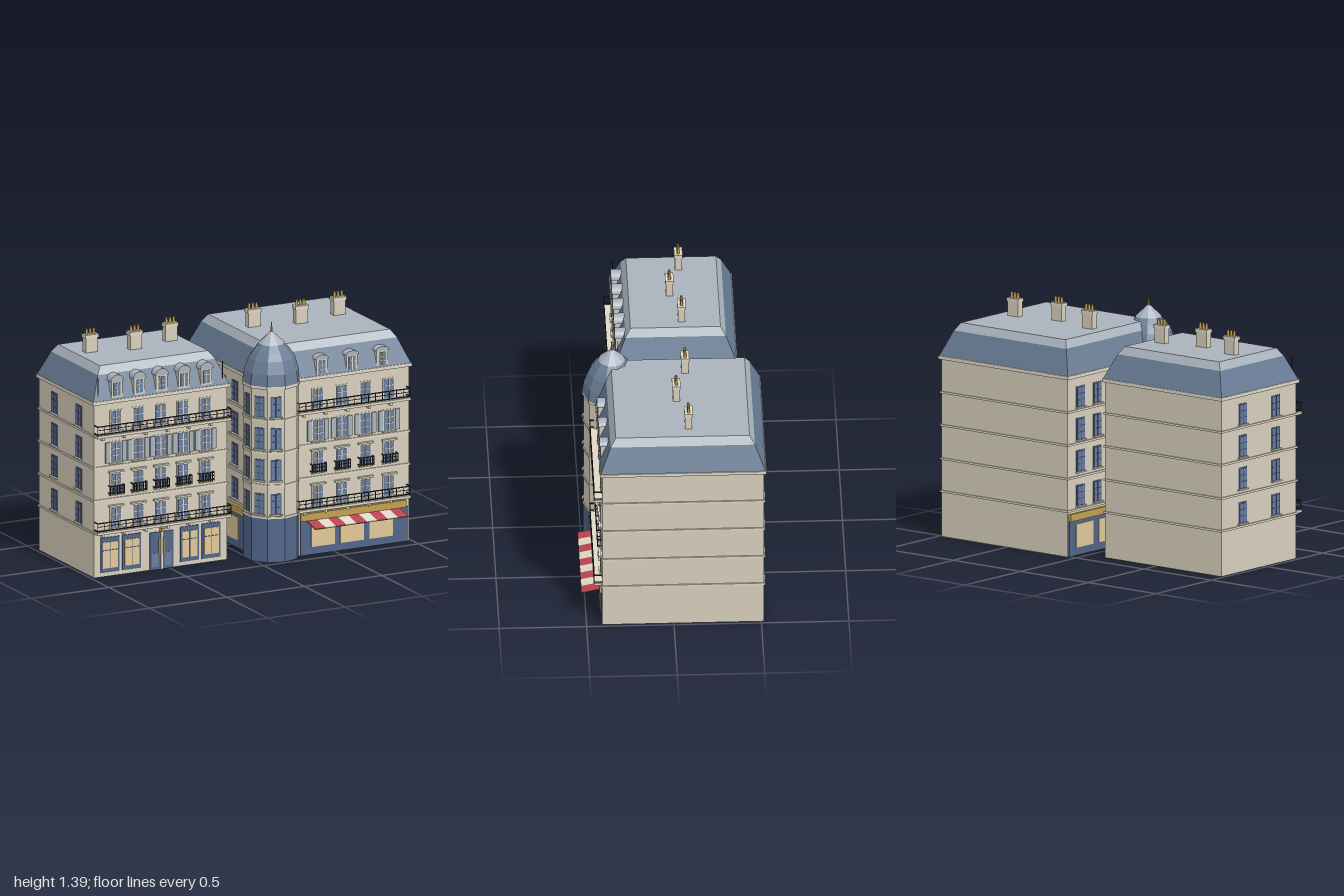
import * as THREE from 'three';

const material = (name, color, side = THREE.FrontSide) => {
  const m = new THREE.MeshStandardMaterial({ color, side });
  m.name = name;
  return m;
};
const stone = material('stone', 0xd8cfbc), trim = material('pale trim', 0xe0d8c6);
const slate = material('slate', 0x6a7d96), zinc = material('zinc', 0xa9b3bc);
const navy = material('navy paint', 0x52658a), glass = material('glass', 0x6b7f9f);
const lit = material('lit glass', 0xe0c898), gold = material('gold', 0xc2a050);
const red = material('awning red', 0xb84450), iron = material('iron', 0x2b2e33);

function add(parent, name, geo, mat) {
  const m = new THREE.Mesh(geo, mat);
  m.name = name;
  parent.add(m);
  return m;
}

// Box given by its limits
function box(parent, name, mat, x0, x1, y0, y1, z0, z1) {
  const m = add(parent, name, new THREE.BoxGeometry(x1 - x0, y1 - y0, z1 - z0), mat);
  m.position.set((x0 + x1) / 2, (y0 + y1) / 2, (z0 + z1) / 2);
  return m;
}

// Group whose local z = 0 is a wall plane facing outwards
function wall(parent, name, x, z, angle) {
  const g = new THREE.Group();
  g.name = name;
  g.position.set(x, 0, z);
  g.rotation.y = angle;
  parent.add(g);
  return g;
}

// Rectangular roof tier, inset at the top
function roofTier(parent, name, mat, [x0, x1, z0, z1], in0, y0, in1, y1) {
  const ring = (i, y) => [[x0 + i, y, z1 - i], [x1 - i, y, z1 - i], [x1 - i, y, z0 + i], [x0 + i, y, z0 + i]];
  const a = ring(in0, y0), b = ring(in1, y1), p = [];
  const quad = (q, r, s, t) => p.push(...q, ...r, ...s, ...q, ...s, ...t);
  for (let i = 0; i < 4; i++) quad(a[i], a[(i + 1) % 4], b[(i + 1) % 4], b[i]);
  quad(...b);
  const geo = new THREE.BufferGeometry();
  geo.setAttribute('position', new THREE.Float32BufferAttribute(p, 3));
  geo.computeVertexNormals();
  add(parent, name, geo, mat);
}

// Casement window: surround, pane, glazing bars and sill
function windowUnit(w, x, y0, y1, width, frame = trim, pane = glass) {
  const h = width / 2, t = 0.007;
  box(w, 'windowSurround', frame, x - h - t, x + h + t, y0 - t, y1 + t, -0.004, 0.003);
  box(w, 'windowPane', pane, x - h, x + h, y0, y1, 0, 0.006);
  box(w, 'glazingBar', frame, x - 0.003, x + 0.003, y0, y1, 0, 0.009);
  for (const f of [1 / 3, 2 / 3]) {
    const y = y0 + (y1 - y0) * f;
    box(w, 'glazingBar', frame, x - h, x + h, y - 0.002, y + 0.002, 0, 0.008);
  }
  box(w, 'windowSill', trim, x - h - 0.012, x + h + 0.012, y0 - 0.013, y0 - 0.005, 0, 0.015);
}

// Iron railing with returns to the wall
function railing(w, x0, x1, y0, y1, depth, step) {
  for (const y of [y0 + 0.008, y1]) {
    box(w, 'rail', iron, x0, x1, y - 0.003, y + 0.003, depth - 0.005, depth);
    for (const x of [x0, x1]) box(w, 'railReturn', iron, x - 0.002, x + 0.002, y - 0.003, y + 0.003, 0, depth);
  }
  box(w, 'midRail', iron, x0, x1, y0 + (y1 - y0) * 0.6, y0 + (y1 - y0) * 0.6 + 0.003, depth - 0.004, depth);
  const n = Math.round((x1 - x0) / step);
  for (let i = 0; i <= n; i++) {
    const x = x0 + (x1 - x0) * i / n;
    box(w, 'baluster', iron, x - 0.002, x + 0.002, y0, y1, depth - 0.004, depth);
  }
}

function balcony(w, x0, x1, y) {
  box(w, 'balconySlab', trim, x0, x1, y - 0.015, y, 0, 0.048);
  railing(w, x0 + 0.003, x1 - 0.003, y, y + 0.055, 0.047, 0.045);
  for (let x = x0 + 0.04; x < x1; x += 0.14) box(w, 'balconyBracket', trim, x, x + 0.014, y - 0.035, y - 0.015, 0, 0.03);
}

const rows = [[0.29, 0.4], [0.49, 0.602], [0.675, 0.79], [0.865, 0.975]];

// Four storeys of front windows, each with its own dressing
function frontWindows(w, columns) {
  for (const x of columns) rows.forEach(([y0, y1], r) => {
    windowUnit(w, x, y0, y1, 0.064);
    if (r < 2) box(w, 'windowHood', trim, x - 0.048, x + 0.048, y1 + 0.01, y1 + 0.02, 0, 0.018);
    if (r === 1) railing(w, x - 0.046, x + 0.046, y0 - 0.005, y0 + 0.045, 0.026, 0.012);
    if (r === 2) for (const s of [-1, 1])
      box(w, 'shutter', zinc, x + s * 0.054 - 0.014, x + s * 0.054 + 0.014, y0 - 0.003, y1 + 0.003, 0, 0.009);
  });
}

const sideWindows = (w, columns, width = 0.06) => {
  for (const x of columns) for (const [y0, y1] of rows) windowUnit(w, x, y0, y1, width, navy);
};

function dormer(w, x, flat) {
  const top = 1.15;
  box(w, 'dormerBody', stone, x - 0.036, x + 0.036, 1.05, top, -0.09, 0.005);
  box(w, 'dormerGlass', glass, x - 0.022, x + 0.022, 1.065, top - 0.008, 0, 0.008);
  box(w, 'dormerBar', trim, x - 0.002, x + 0.002, 1.065, top - 0.008, 0, 0.01);
  for (const y of [1.09, 1.115]) box(w, 'dormerBar', trim, x - 0.022, x + 0.022, y, y + 0.003, 0, 0.01);
  const arch = new THREE.Shape().absarc(0, 0, 0.043, 0, Math.PI, false);
  const cap = add(w, 'dormerHood', new THREE.ExtrudeGeometry(arch, { depth: 0.1, bevelEnabled: false, curveSegments: 8 }), zinc);
  cap.position.set(x, top, -0.09);
  cap.scale.y = flat ? 0.6 : 0.92;
}

function chimney(parent, x, z, y) {
  box(parent, 'chimneyStack', stone, x - 0.038, x + 0.038, y - 0.01, y + 0.1, z - 0.02, z + 0.02);
  box(parent, 'chimneyCap', trim, x - 0.043, x + 0.043, y + 0.085, y + 0.105, z - 0.024, z + 0.024);
  for (const d of [-0.023, 0, 0.023]) {
    const pot = add(parent, 'chimneyPot', new THREE.CylinderGeometry(0.007, 0.009, 0.035, 8), gold);
    pot.position.set(x + d, y + 0.121, z);
  }
}

// Walls, string courses, cornice and mansard roof
function shell(name, [x0, x1, z0, z1], eave, breakY, topY) {
  const g = new THREE.Group();
  g.name = name;
  box(g, 'walls', stone, x0, x1, 0, eave, z0, z1);
  const band = (n, y, h, o) => box(g, n, trim, x0 - o, x1 + o, y - h / 2, y + h / 2, z0 - o, z1 + o);
  for (const y of [0.265, 0.455, 0.65, 0.842]) band('stringCourse', y, 0.012, 0.007);
  band('cornice', eave, 0.02, 0.014);
  const foot = [x0 - 0.01, x1 + 0.01, z0 - 0.01, z1 + 0.01];
  roofTier(g, 'mansard', slate, foot, 0, eave + 0.008, 0.06, breakY);
  roofTier(g, 'roofTop', zinc, foot, 0.06, breakY, 0.09, topY);
  return g;
}

function leftBuilding() {
  const g = shell('leftBuilding', [-0.982, -0.124, -0.39, 0.285], 1.035, 1.185, 1.23);
  const front = wall(g, 'front', 0, 0.285, 0);
  const columns = [0, 1, 2, 3, 4].map(i => -0.843 + i * 0.1445);
  frontWindows(front, columns);
  columns.forEach(x => dormer(front, x + 0.006, false));
  balcony(front, -0.985, -0.12, 0.277);
  balcony(front, -0.985, -0.12, 0.85);
  // Ground-floor windows
  for (const x of [-0.881, -0.741, -0.368, -0.228]) {
    box(front, 'shopFrame', navy, x - 0.06, x + 0.06, 0.025, 0.232, 0, 0.006);
    box(front, 'shopPane', lit, x - 0.048, x + 0.048, 0.05, 0.205, 0, 0.01);
    box(front, 'shopBar', navy, x - 0.002, x + 0.002, 0.05, 0.205, 0, 0.012);
    box(front, 'shopBar', navy, x - 0.048, x + 0.048, 0.155, 0.159, 0, 0.012);
  }
  // Double door
  box(front, 'doorLeaves', navy, -0.626, -0.474, 0, 0.222, 0, 0.007);
  box(front, 'doorPost', trim, -0.558, -0.544, 0, 0.245, 0, 0.012);
  for (const s of [-1, 1]) {
    box(front, 'doorPanel', slate, -0.551 + s * 0.042 - 0.02, -0.551 + s * 0.042 + 0.02, 0.02, 0.1, 0, 0.01);
    box(front, 'doorHandle', gold, -0.551 + s * 0.014 - 0.004, -0.551 + s * 0.014 + 0.004, 0.09, 0.19, 0, 0.012);
  }
  box(front, 'doorLamp', gold, -0.56, -0.542, 0.225, 0.245, 0, 0.025);
  sideWindows(wall(g, 'outerSide', -0.982, 0, -Math.PI / 2), [-0.2, 0.1]);
  sideWindows(wall(g, 'innerSide', -0.124, 0, Math.PI / 2), [0.2, -0.1]);
  // Corner roof spikes
  for (const x of [-0.955, -0.15]) box(g, 'roofSpike', iron, x - 0.002, x + 0.002, 1.05, 1.18, 0.278, 0.282);
  [[-0.81, -0.09], [-0.555, -0.03], [-0.295, -0.09]].forEach(([x, z]) => chimney(g, x, z, 1.23));
  return g;
}

function rightBuilding() {
  const g = shell('rightBuilding', [0.052, 0.984, -0.515, 0.41], 1.045, 1.2, 1.245);
  const front = wall(g, 'front', 0, 0.41, 0);
  frontWindows(front, [0.395, 0.548, 0.701, 0.854]);
  [0.42, 0.615, 0.81].forEach(x => dormer(front, x, true));
  balcony(front, 0.25, 0.972, 0.28);
  balcony(front, 0.25, 0.972, 0.86);
  // Shopfronts on the street and alley sides
  const shop = (w, x0, x1, panes) => {
    box(w, 'shopFront', navy, x0, x1, 0, 0.205, 0, 0.007);
    box(w, 'shopSign', gold, x0, x1 - 0.015, 0.205, 0.247, 0, 0.016);
    for (const x of panes) box(w, 'shopPane', lit, x - 0.076, x + 0.076, 0.045, 0.182, 0, 0.01);
  };
  shop(front, 0.28, 0.976, [0.425, 0.613, 0.802]);
  const alley = wall(g, 'alleySide', 0.052, 0, -Math.PI / 2);
  shop(alley, -0.505, 0.2, [-0.37, -0.17, 0.03]);
  sideWindows(alley, [-0.4, -0.25, -0.1, 0.05]);
  // Striped awning
  for (let i = 0; i < 9; i++) {
    const s = add(front, 'awningStripe', new THREE.BoxGeometry(0.6 / 9, 0.005, 0.112), i % 2 ? trim : red);
    s.position.set(0.32 + (i + 0.5) * 0.6 / 9, 0.191, 0.062);
    s.rotation.x = 0.21;
  }
  [[0.24, -0.09], [0.515, -0.03], [0.79, -0.09]].forEach(([x, z]) => chimney(g, x, z, 1.245));
  return g;
}

// Ten-sided corner turret
function turret() {
  const g = new THREE.Group();
  g.name = 'turret';
  g.position.set(0.142, 0, 0.325);
  const drum = (name, mat, r0, r1, y0, y1) => {
    const geo = new THREE.CylinderGeometry(r1, r0, y1 - y0, 10).toNonIndexed();
    geo.computeVertexNormals();
    add(g, name, geo, mat).position.y = (y0 + y1) / 2;
  };
  drum('turretBase', navy, 0.164, 0.164, 0, 0.262);
  drum('turretWall', stone, 0.162, 0.162, 0.262, 1.035);
  for (const y of [0.265, 0.455, 0.65, 0.842]) drum('turretBand', trim, 0.168, 0.168, y - 0.006, y + 0.006);
  drum('turretCornice', trim, 0.17, 0.17, 1.025, 1.042);
  const profile = [[0.17, 1.042], [0.16, 1.11], [0.135, 1.18], [0.105, 1.225], [0.072, 1.262]];
  for (let i = 0; i < 4; i++) drum('turretRoof', slate, profile[i][0], profile[i + 1][0], profile[i][1], profile[i + 1][1]);
  drum('turretCap', zinc, 0.078, 0.008, 1.262, 1.328);
  drum('finial', gold, 0.008, 0.001, 1.325, 1.387);
  for (const deg of [-18, -54, -90]) {
    const a = deg * Math.PI / 180, r = 0.162 * Math.cos(Math.PI / 10);
    sideWindows(wall(g, 'turretFacet', r * Math.sin(a), r * Math.cos(a), a), [0], 0.05);
  }
  return g;
}

export function createModel() {
  const model = new THREE.Group();
  model.name = 'townhouses';
  model.add(leftBuilding(), rightBuilding(), turret());
  return model;
}
